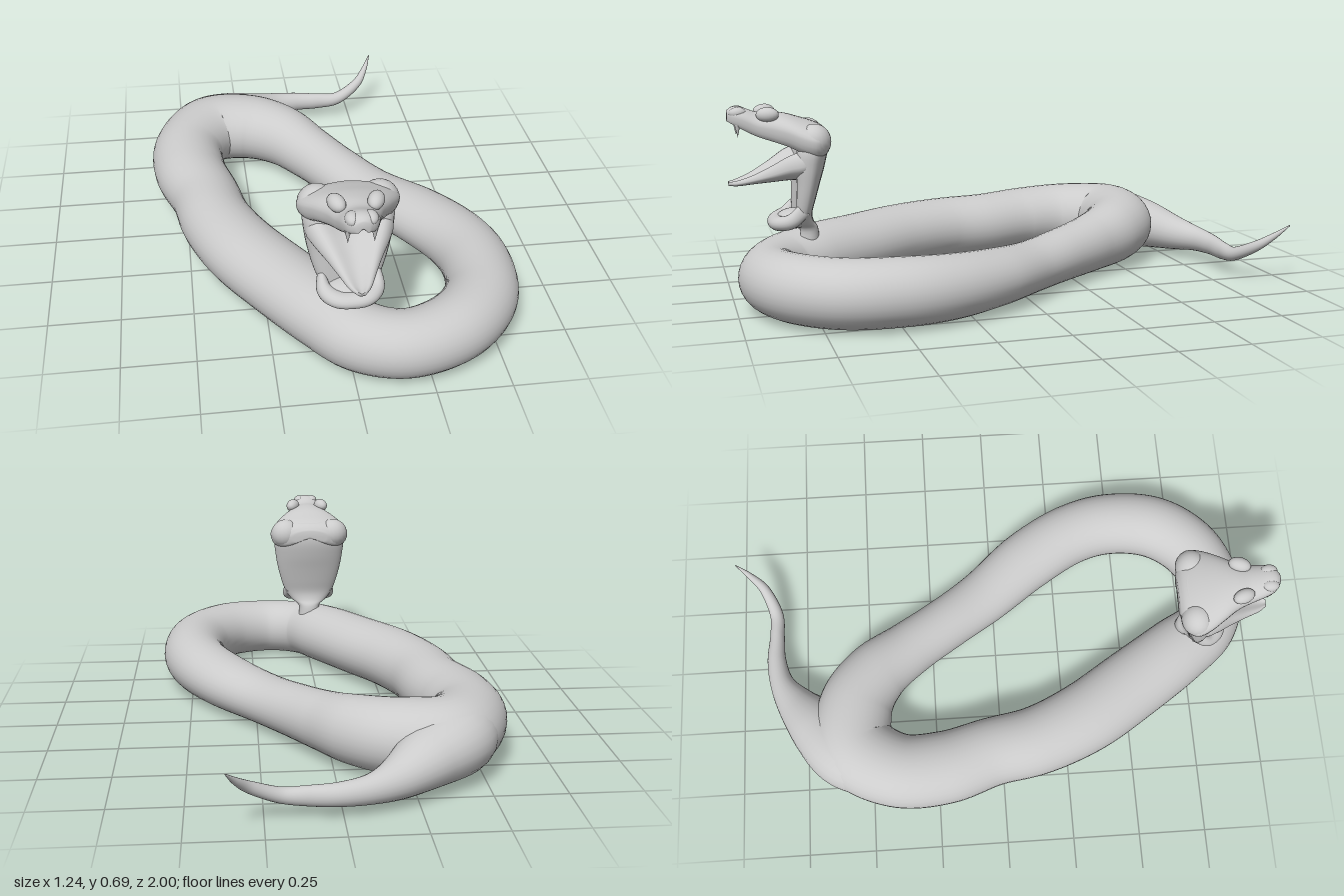
import * as THREE from 'three';

const V = (x, y, z) => new THREE.Vector3(x, y, z);
const material = new THREE.MeshStandardMaterial({ color: 0xcccccc });

// Skin over a list of rings (arrays of Vector3); loop joins the last ring to the first
function loft(rings, loop = false) {
  const n = rings[0].length, m = rings.length, pos = [], idx = [];
  rings.flat().forEach(p => pos.push(p.x, p.y, p.z));
  for (let i = 0; i < (loop ? m : m - 1); i++) {
    for (let j = 0; j < n; j++) {
      const a = i * n + j, b = i * n + (j + 1) % n;
      const c = ((i + 1) % m) * n + j, d = ((i + 1) % m) * n + (j + 1) % n;
      idx.push(a, b, d, a, d, c);
    }
  }
  if (!loop) {
    [0, m - 1].forEach((r, k) => {
      const c = rings[r].reduce((s, p) => s.add(p), V(0, 0, 0)).divideScalar(n);
      const ci = pos.push(c.x, c.y, c.z) / 3 - 1;
      for (let j = 0; j < n; j++) {
        const a = r * n + j, b = r * n + (j + 1) % n;
        k ? idx.push(ci, a, b) : idx.push(ci, b, a);
      }
    });
  }
  // Turn the faces outward if the enclosed volume comes out negative
  const at = i => V().fromArray(pos, i * 3);
  let volume = 0;
  for (let i = 0; i < idx.length; i += 3) volume += at(idx[i]).dot(at(idx[i + 1]).cross(at(idx[i + 2])));
  if (volume < 0) idx.reverse();
  const g = new THREE.BufferGeometry();
  g.setAttribute('position', new THREE.Float32BufferAttribute(pos, 3));
  g.setIndex(idx);
  g.computeVertexNormals();
  return g;
}

// Oval tube through points [x, y, z, horizontal radius, vertical radius]
function sweep(points, loop, steps, sides = 32) {
  const path = new THREE.CatmullRomCurve3(points.map(p => V(p[0], p[1], p[2])), loop, 'catmullrom', 0.5);
  const size = new THREE.CatmullRomCurve3(points.map(p => V(p[3], p[4], 0)), loop, 'catmullrom', 0.5);
  const rings = [];
  for (let i = 0; i < (loop ? steps : steps + 1); i++) {
    const t = i / steps, c = path.getPoint(t), s = size.getPoint(t), dir = path.getTangent(t);
    const side = V(-dir.z, 0, dir.x).normalize();
    const up = side.clone().cross(dir).normalize();
    rings.push(Array.from({ length: sides }, (_, j) => {
      const a = j / sides * Math.PI * 2;
      return c.clone().addScaledVector(side, Math.cos(a) * s.x).addScaledVector(up, Math.sin(a) * s.y);
    }));
  }
  return loft(rings, loop);
}

// Rows [along, half width, round edge, hollow edge]: rounded on one side, troughed on the other
function trough(rows, place, hollow, steps = 36, sides = 40) {
  const a = new THREE.CatmullRomCurve3(rows.map(r => V(r[0], r[1], 0)), false, 'catmullrom', 0.5);
  const b = new THREE.CatmullRomCurve3(rows.map(r => V(r[2], r[3], 0)), false, 'catmullrom', 0.5);
  const rings = [];
  for (let i = 0; i <= steps; i++) {
    const p = a.getPoint(i / steps), q = b.getPoint(i / steps), mid = (q.x + q.y) / 2;
    rings.push(Array.from({ length: sides }, (_, j) => {
      const t = j / sides * Math.PI * 2, s = Math.abs(Math.sin(t));
      const d = Math.sin(t) >= 0 ? (q.x - mid) * s : (q.y - mid) * s * (1 - hollow * s ** 3) * (1 + 0.7 * hollow);
      return place(p.x, Math.cos(t) * p.y, mid + d);
    }));
  }
  return loft(rings);
}

export function createModel() {
  const model = new THREE.Group();
  const head = new THREE.Group();
  head.name = 'head';
  const add = (name, geometry, parent = model) => {
    const mesh = new THREE.Mesh(geometry, material);
    mesh.name = name;
    parent.add(mesh);
    return mesh;
  };
  const alongZ = (z, x, y) => V(x, y, z);
  const alongY = (y, x, z) => V(x, y, z);

  // Thick coil lying on the ground
  add('bodyCoil', sweep([
    [-0.07, 0.125, 0.70, 0.132, 0.12], [-0.19, 0.127, 0.52, 0.138, 0.12],
    [-0.31, 0.13, 0.33, 0.138, 0.12], [-0.39, 0.13, 0.14, 0.132, 0.12],
    [-0.425, 0.13, -0.04, 0.13, 0.12], [-0.475, 0.135, -0.22, 0.138, 0.122],
    [-0.475, 0.138, -0.40, 0.14, 0.128], [-0.38, 0.142, -0.55, 0.15, 0.132],
    [-0.22, 0.142, -0.55, 0.142, 0.13], [-0.09, 0.135, -0.47, 0.125, 0.122],
    [0.01, 0.12, -0.34, 0.108, 0.108], [0.11, 0.108, -0.19, 0.104, 0.098],
    [0.22, 0.1, -0.03, 0.11, 0.092], [0.36, 0.108, 0.15, 0.122, 0.1],
    [0.46, 0.115, 0.33, 0.122, 0.11], [0.495, 0.12, 0.50, 0.123, 0.115],
    [0.465, 0.12, 0.68, 0.125, 0.116], [0.35, 0.12, 0.82, 0.12, 0.115],
    [0.18, 0.115, 0.88, 0.112, 0.112], [0.03, 0.118, 0.83, 0.118, 0.114],
  ], true, 200));

  // Tail tapering away behind the coil and lifting at the tip
  add('tail', sweep([
    [-0.46, 0.138, -0.44, 0.12, 0.12], [-0.40, 0.135, -0.58, 0.135, 0.12],
    [-0.29, 0.12, -0.69, 0.115, 0.1], [-0.18, 0.095, -0.785, 0.075, 0.07],
    [-0.09, 0.085, -0.84, 0.047, 0.05], [0.01, 0.08, -0.862, 0.036, 0.04],
    [0.11, 0.078, -0.86, 0.028, 0.034], [0.2, 0.085, -0.862, 0.026, 0.026],
    [0.29, 0.13, -0.90, 0.02, 0.02], [0.335, 0.175, -0.95, 0.012, 0.012],
    [0.365, 0.22, -1.0, 0.002, 0.002],
  ], false, 90, 24));

  // Raised neck widening into the hood
  add('hood', trough([
    [0.2, 0.045, 0.69, 0.77], [0.25, 0.045, 0.695, 0.77], [0.275, 0.075, 0.71, 0.785],
    [0.31, 0.1, 0.715, 0.785], [0.36, 0.118, 0.702, 0.785], [0.42, 0.133, 0.685, 0.785],
    [0.48, 0.143, 0.667, 0.79], [0.54, 0.146, 0.655, 0.785], [0.59, 0.12, 0.66, 0.76],
    [0.62, 0.07, 0.68, 0.74],
  ], alongY, 0.6));

  // Fold of the hood curling forward at the bottom
  const fold = add('hoodFold', sweep([
    [-0.09, 0.33, 0.755, 0.012, 0.025], [-0.085, 0.29, 0.80, 0.025, 0.026],
    [-0.05, 0.277, 0.835, 0.032, 0.026], [0, 0.274, 0.842, 0.034, 0.026],
    [0.05, 0.277, 0.835, 0.032, 0.026], [0.085, 0.29, 0.80, 0.025, 0.026],
    [0.09, 0.33, 0.755, 0.012, 0.025],
  ], false, 48, 20));
  fold.position.z = -0.005;
  const web = add('hoodWeb', new THREE.SphereGeometry(1, 24, 16));
  web.scale.set(0.08, 0.035, 0.06);
  web.position.set(0, 0.285, 0.78);

  // Skull and upper jaw with an arched palate
  add('upperHead', trough([
    [0.652, 0.07, 0.59, 0.54], [0.67, 0.13, 0.612, 0.515], [0.705, 0.163, 0.63, 0.505],
    [0.75, 0.153, 0.645, 0.515], [0.80, 0.123, 0.66, 0.54], [0.85, 0.09, 0.667, 0.558],
    [0.90, 0.07, 0.668, 0.577], [0.95, 0.058, 0.687, 0.603], [0.98, 0.045, 0.687, 0.622],
    [0.998, 0.02, 0.675, 0.635],
  ], alongZ, 0.85), head);

  // Open lower jaw, a narrowing scoop
  add('lowerJaw', trough([
    [0.71, 0.125, 0.43, 0.555], [0.75, 0.14, 0.425, 0.55], [0.80, 0.122, 0.425, 0.53],
    [0.86, 0.088, 0.42, 0.49], [0.92, 0.058, 0.415, 0.455], [0.97, 0.035, 0.41, 0.435],
    [1.0, 0.014, 0.412, 0.428],
  ], alongZ, 0.85), head);

  // Paired bumps and fangs
  const bump = new THREE.SphereGeometry(1, 20, 14);
  const fangShape = new THREE.ConeGeometry(0.01, 0.045, 12);
  for (const s of [-1, 1]) {
    const brow = add('browRidge', bump, head);
    brow.position.set(s * 0.06, 0.662, 0.865);
    brow.scale.set(0.026, 0.026, 0.04);
    brow.rotation.y = -s * 0.35;
    const cheek = add('cheekLobe', bump, head);
    cheek.position.set(s * 0.1, 0.57, 0.712);
    cheek.scale.set(0.062, 0.06, 0.058);
    const nostril = add('nostrilRidge', bump, head);
    nostril.position.set(s * 0.028, 0.668, 0.962);
    nostril.scale.set(0.022, 0.02, 0.03);
    const fang = add('fang', fangShape, head);
    fang.position.set(s * 0.04, 0.607, 0.965);
    fang.rotation.x = Math.PI;
  }

  model.add(head);
  return model;
}
